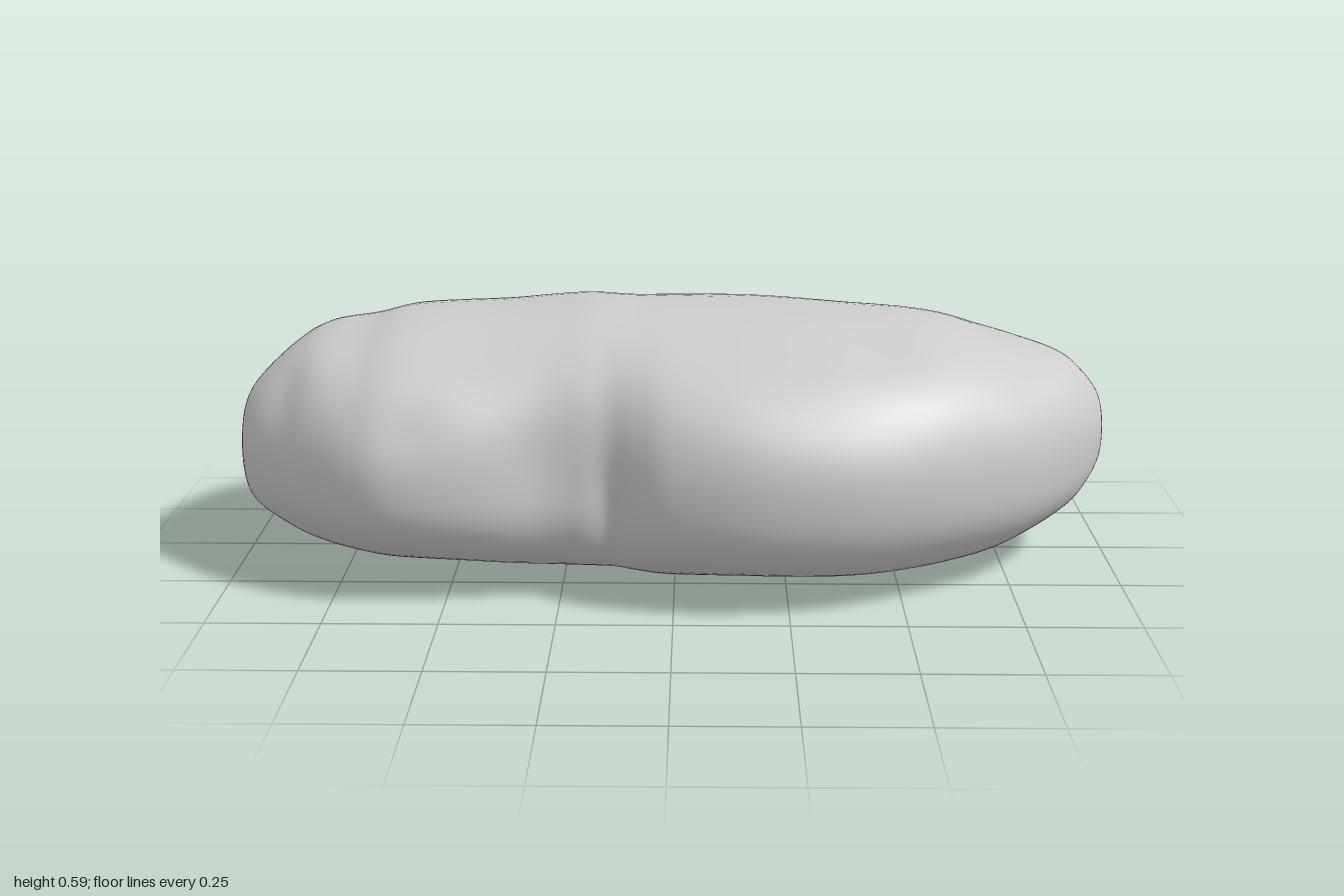
import * as THREE from 'three';

// Cross-sections along the length: [x, back z, front z, bottom y, top y]
const SECTIONS = [
  [-1.0, 0.03, 0.03, 0.27, 0.27],
  [-0.985, -0.1, 0.125, 0.18, 0.37],
  [-0.95, -0.195, 0.2, 0.13, 0.425],
  [-0.87, -0.315, 0.28, 0.085, 0.495],
  [-0.8, -0.37, 0.335, 0.06, 0.53],
  [-0.7, -0.42, 0.395, 0.042, 0.545],
  [-0.6, -0.44, 0.425, 0.03, 0.567],
  [-0.4, -0.465, 0.42, 0.017, 0.573],
  [-0.28, -0.477, 0.405, 0.01, 0.583],
  [-0.2, -0.466, 0.4, 0.007, 0.59],
  [-0.14, -0.445, 0.4, 0.004, 0.59],
  [-0.08, -0.463, 0.43, 0.002, 0.587],
  [0.0, -0.493, 0.468, 0.001, 0.586],
  [0.18, -0.503, 0.5, 0.005, 0.582],
  [0.38, -0.455, 0.482, 0.011, 0.574],
  [0.55, -0.435, 0.42, 0.018, 0.56],
  [0.7, -0.42, 0.33, 0.03, 0.525],
  [0.8, -0.385, 0.255, 0.06, 0.487],
  [0.9, -0.305, 0.15, 0.105, 0.45],
  [0.95, -0.24, 0.085, 0.155, 0.41],
  [0.985, -0.15, 0.01, 0.21, 0.36],
  [1.0, -0.07, -0.07, 0.285, 0.285],
];

// Shallow dents: centre, radii, and depth as a share of the section size
const DENTS = [
  { at: [-0.3, 0.32, 0.38], size: [0.17, 0.13, 0.15], depth: 0.08 },
  { at: [-0.13, 0.17, 0.42], size: [0.04, 0.13, 0.15], depth: 0.06 },
  { at: [-0.15, 0.3, -0.45], size: [0.04, 0.2, 0.15], depth: 0.05 },
  { at: [0.9, 0.24, -0.2], size: [0.1, 0.05, 0.1], depth: 0.12 },
  { at: [0.45, 0.5, 0.22], size: [0.13, 0.1, 0.1], depth: 0.05 },
  { at: [0.72, 0.5, -0.08], size: [0.06, 0.08, 0.12], depth: 0.05 },
  { at: [-0.58, 0.38, 0.33], size: [0.08, 0.07, 0.09], depth: 0.06 },
  { at: [-0.85, 0.4, 0.18], size: [0.05, 0.09, 0.09], depth: 0.06 },
];

const curveOf = (a, b) => new THREE.CatmullRomCurve3(
  SECTIONS.map((s) => new THREE.Vector3(s[0], s[a], s[b])), false, 'catmullrom', 0.5);

function stoneGeometry(rows = 105, sides = 72) {
  const widths = curveOf(1, 2);
  const heights = curveOf(3, 4);
  const positions = [];
  const index = [];

  // Rounded power for a superellipse section
  const bulge = (v, n) => Math.sign(v) * Math.abs(v) ** (2 / n);

  for (let i = 0; i <= rows; i++) {
    const w = widths.getPoint(i / rows);
    const h = heights.getPoint(i / rows);
    const zMid = (w.y + w.z) / 2, zHalf = (w.z - w.y) / 2;
    const yMid = (h.y + h.z) / 2 - 0.12 * (h.z - h.y) * 0.5;
    for (let j = 0; j < sides; j++) {
      const a = (j / sides) * Math.PI * 2;
      const c = Math.cos(a), s = Math.sin(a);
      const n = s > 0 ? 2.2 : 2.5; // the underside is flatter
      const yHalf = s > 0 ? h.z - yMid : yMid - h.y;
      const dz = zHalf * bulge(c, n);
      const dy = yHalf * bulge(s, n);
      const p = [w.x, yMid + dy, zMid + dz];
      let scale = 1;
      for (const d of DENTS) {
        const r2 = p.reduce((sum, v, k) => sum + ((v - d.at[k]) / d.size[k]) ** 2, 0);
        scale -= d.depth * Math.exp(-r2);
      }
      // Gentle unevenness on the flanks only
      scale += 0.012 * Math.sin(9 * p[0] + 3 * a) * Math.sin(2 * a) ** 2;
      positions.push(p[0], yMid + dy * scale, zMid + dz * scale);
    }
  }

  // Each end row collapses to one shared tip vertex
  const id = (i, j) => i * sides + (i === 0 || i === rows ? 0 : j % sides);
  for (let i = 0; i < rows; i++) {
    for (let j = 0; j < sides; j++) {
      const a = id(i, j), b = id(i + 1, j), c = id(i, j + 1), d = id(i + 1, j + 1);
      if (i < rows - 1) index.push(b, d, c);
      else index.push(a, b, c);
      if (i > 0 && i < rows - 1) index.push(a, b, c);
    }
  }

  const geometry = new THREE.BufferGeometry();
  geometry.setAttribute('position', new THREE.Float32BufferAttribute(positions, 3));
  geometry.setIndex(index);
  geometry.computeVertexNormals();
  return geometry;
}

export function createModel() {
  const group = new THREE.Group();
  group.name = 'pebble';
  const stone = new THREE.Mesh(stoneGeometry(), new THREE.MeshStandardMaterial({ color: 0xcccccc }));
  stone.name = 'stone';
  group.add(stone);
  return group;
}
